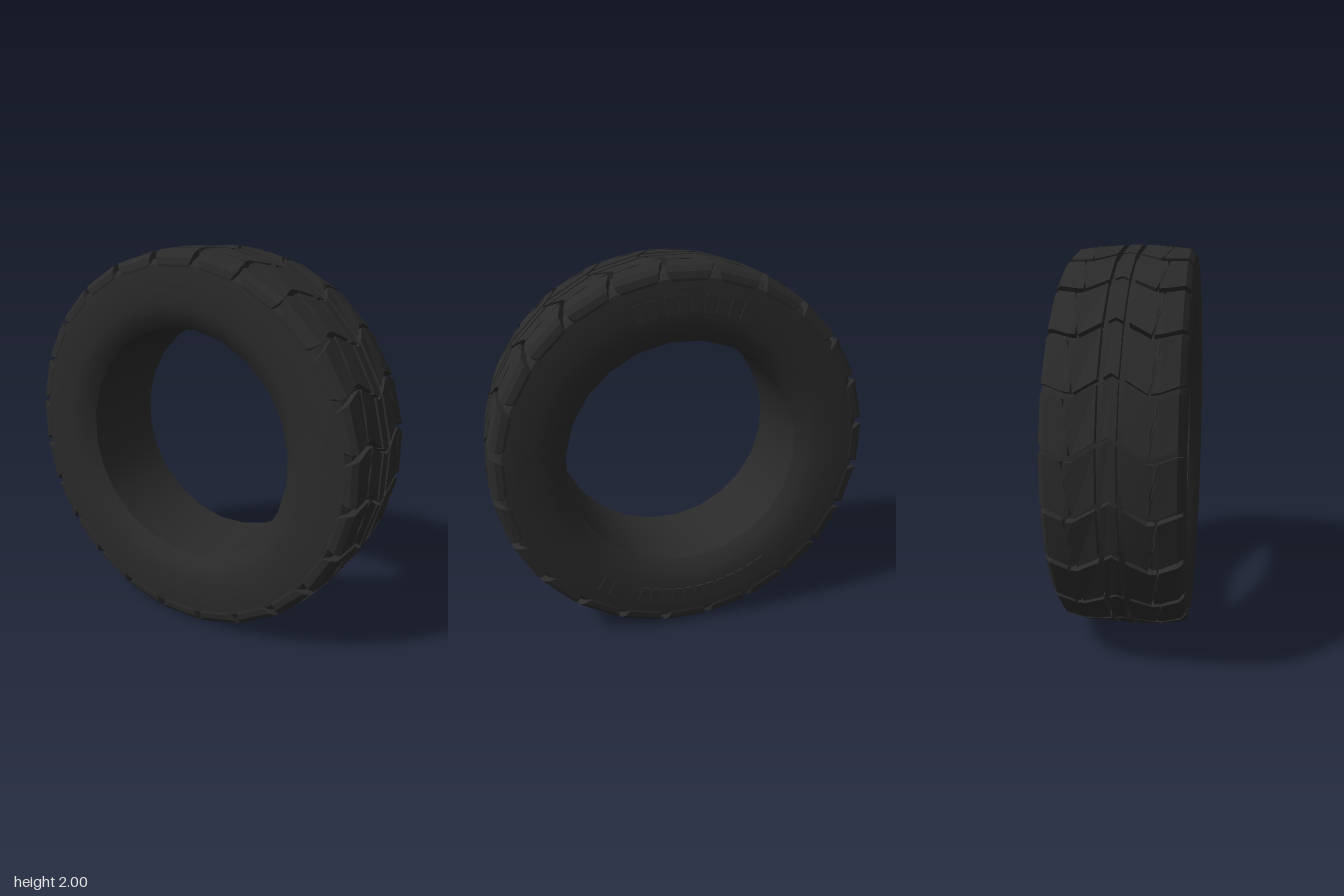
import * as THREE from 'three';
import { mergeGeometries, toCreasedNormals } from 'three/addons/utils/BufferGeometryUtils.js';

const SIDES = 24;
const PITCH = (Math.PI * 2) / SIDES;

// Loft a tread block through rows of { z, r, from, to }, angles clockwise from the top
function treadBlock(rows) {
  const pos = [];
  const index = [];
  const put = (r, t, z) => pos.push(r * Math.sin(t), r * Math.cos(t), z);
  for (const { z, r, from, to } of rows) {
    put(r, from, z);
    put(r, to, z);
    put(r - 0.06, to, z * 0.97);
    put(r - 0.06, from, z * 0.97);
  }
  const quad = (a, b, c, d) => index.push(a, b, c, a, c, d);
  for (let i = 0; i < rows.length - 1; i++) {
    for (let k = 0; k < 4; k++) {
      const n = (k + 1) % 4;
      quad(i * 4 + k, i * 4 + 4 + k, i * 4 + 4 + n, i * 4 + n);
    }
  }
  const last = (rows.length - 1) * 4;
  quad(0, 1, 2, 3);
  quad(last + 3, last + 2, last + 1, last);
  const g = new THREE.BufferGeometry();
  g.setAttribute('position', new THREE.Float32BufferAttribute(pos, 3));
  g.setIndex(index);
  return toCreasedNormals(g, 0.15);
}

// Repeat one block around the whole tire
function ring(block) {
  const copies = [];
  for (let i = 0; i < SIDES; i++) copies.push(block.clone().rotateZ(i * PITCH));
  return mergeGeometries(copies);
}

export function createModel() {
  const tire = new THREE.Group();
  tire.name = 'tire';
  const rubber = new THREE.MeshStandardMaterial({ color: 0x2a2a2a });
  rubber.name = 'black rubber';
  const add = (name, geometry) => {
    const mesh = new THREE.Mesh(geometry, rubber);
    mesh.name = name;
    mesh.position.y = 1;
    tire.add(mesh);
  };

  // Carcass: half section [radius, z], mirrored and closed through the bore
  const half = [[0.615, 0.245], [0.672, 0.29], [0.73, 0.304], [0.8, 0.31], [0.88, 0.31],
    [0.925, 0.305], [0.95, 0.28], [0.968, 0.2]];
  const section = [
    ...half.map(([r, z]) => new THREE.Vector2(r, -z)),
    ...half.slice().reverse().map(([r, z]) => new THREE.Vector2(r, z)),
    new THREE.Vector2(half[0][0], -half[0][1]),
  ];
  const carcass = new THREE.LatheGeometry(section, SIDES, PITCH / 2).rotateX(Math.PI / 2);
  add('carcass', toCreasedNormals(carcass, 0.45));

  // A tread row; shift is the zigzag of the cross grooves at this z
  const row = (z, r, shift, gap) => ({
    z, r,
    from: -PITCH / 2 + gap + 0.05 + shift,
    to: PITCH / 2 - gap + 0.05 + shift,
  });

  // Centre rib
  add('centreTread', ring(treadBlock([
    row(-0.032, 1.003, -0.02, 0.008), row(0, 1.003, 0, 0.008), row(0.032, 1.003, -0.02, 0.008),
  ])));

  // Middle and shoulder blocks on both sides
  for (const side of [1, -1]) {
    const place = (rows) => {
      const placed = rows.map((q) => ({ ...q, z: q.z * side }));
      return treadBlock(side > 0 ? placed : placed.reverse());
    };
    const label = side > 0 ? 'front' : 'back';
    const slant = row(0.19, 0.997, -0.09, 0.014);
    slant.from += PITCH * 0.55;
    add(label + 'MiddleTread', ring(place([
      row(0.058, 1.003, -0.03, 0.012), row(0.155, 1, -0.09, 0.012), slant,
    ])));
    const tip = row(0.168, 0.998, -0.09, 0.014);
    tip.to -= PITCH * 0.5;
    add(label + 'ShoulderTread', ring(place([
      tip, row(0.202, 0.996, -0.085, 0.014), row(0.28, 0.984, -0.055, 0.016),
      row(0.302, 0.958, -0.05, 0.022), row(0.308, 0.925, -0.05, 0.035),
    ])));
  }

  // Raised plain ribs on the back sidewall: [first angle, count, bottom half]
  const ribs = [];
  const groups = [[0.31, 2, false], [0.12, 7, false], [0.6, 2, true], [0.31, 12, true]];
  for (const [first, count, bottom] of groups) {
    for (let i = 0; i < count; i++) {
      const a = first - i * 0.08;
      const y = bottom ? -0.805 : 0.805;
      ribs.push(new THREE.BoxGeometry(0.045, 0.085, 0.016)
        .translate(0, y, -0.309)
        .rotateZ(bottom ? a : -a));
    }
  }
  add('sidewallRibs', mergeGeometries(ribs));

  return tire;
}
